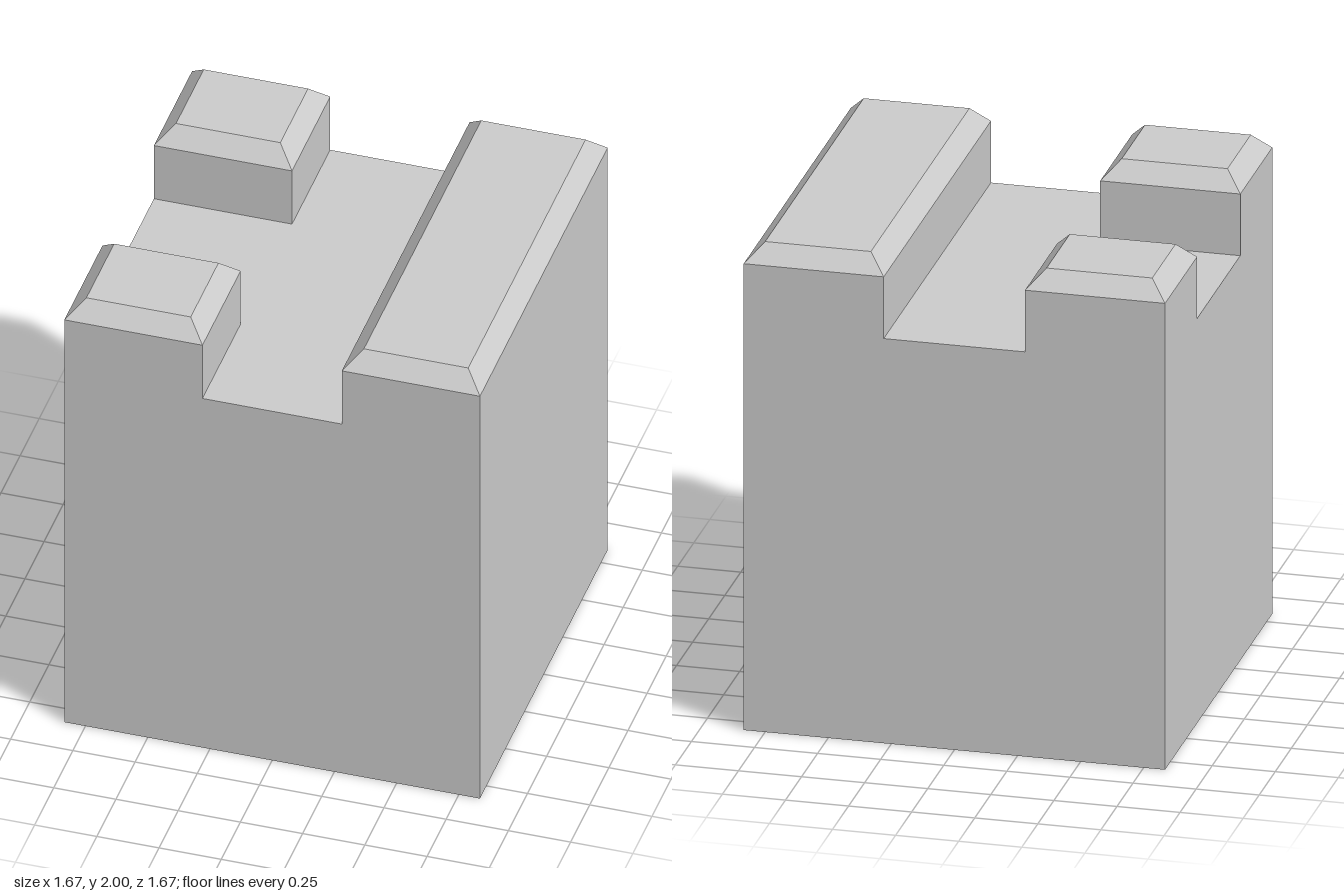
import * as THREE from 'three';

const HALF = 0.835;    // half width of the square block
const FLOOR = 1.673;   // height of the channel floor
const TOP = 2;
const CHAMFER_H = 0.072, CHAMFER_W = 0.068;

const material = new THREE.MeshStandardMaterial({ color: 0xcccccc, flatShading: true });

// Upright block whose top edges are bevelled all round
function chamferedBlock(name, x0, x1, z0, z1) {
  const w = x1 - x0, d = z1 - z0, h = TOP - FLOOR;
  const box = new THREE.BoxGeometry(w, h, d, 1, 2, 1);
  const p = box.attributes.position;
  for (let i = 0; i < p.count; i++) {
    const y = p.getY(i);
    if (Math.abs(y) < 1e-6) {
      p.setY(i, h / 2 - CHAMFER_H);             // middle ring: start of the bevel
    } else if (y > 0) {
      p.setX(i, p.getX(i) - Math.sign(p.getX(i)) * CHAMFER_W);
      p.setZ(i, p.getZ(i) - Math.sign(p.getZ(i)) * CHAMFER_W);
    }
  }
  const geometry = box.toNonIndexed();
  geometry.computeVertexNormals();
  const mesh = new THREE.Mesh(geometry, material);
  mesh.name = name;
  mesh.position.set((x0 + x1) / 2, FLOOR + h / 2, (z0 + z1) / 2);
  return mesh;
}

export function createModel() {
  const model = new THREE.Group();
  model.name = 'battlementBlock';

  // Solid body up to the channel floor
  const body = new THREE.Mesh(new THREE.BoxGeometry(2 * HALF, FLOOR, 2 * HALF), material);
  body.name = 'body';
  body.position.y = FLOOR / 2;
  model.add(body);

  // Long parapet on the left, two corner merlons on the right
  const gapX = 0.28, gapZ = 0.336;
  model.add(
    chamferedBlock('leftParapet', gapX, HALF, -HALF, HALF),
    chamferedBlock('frontRightMerlon', -HALF, -gapX, gapZ, HALF),
    chamferedBlock('backRightMerlon', -HALF, -gapX, -HALF, -gapZ),
  );
  return model;
}
